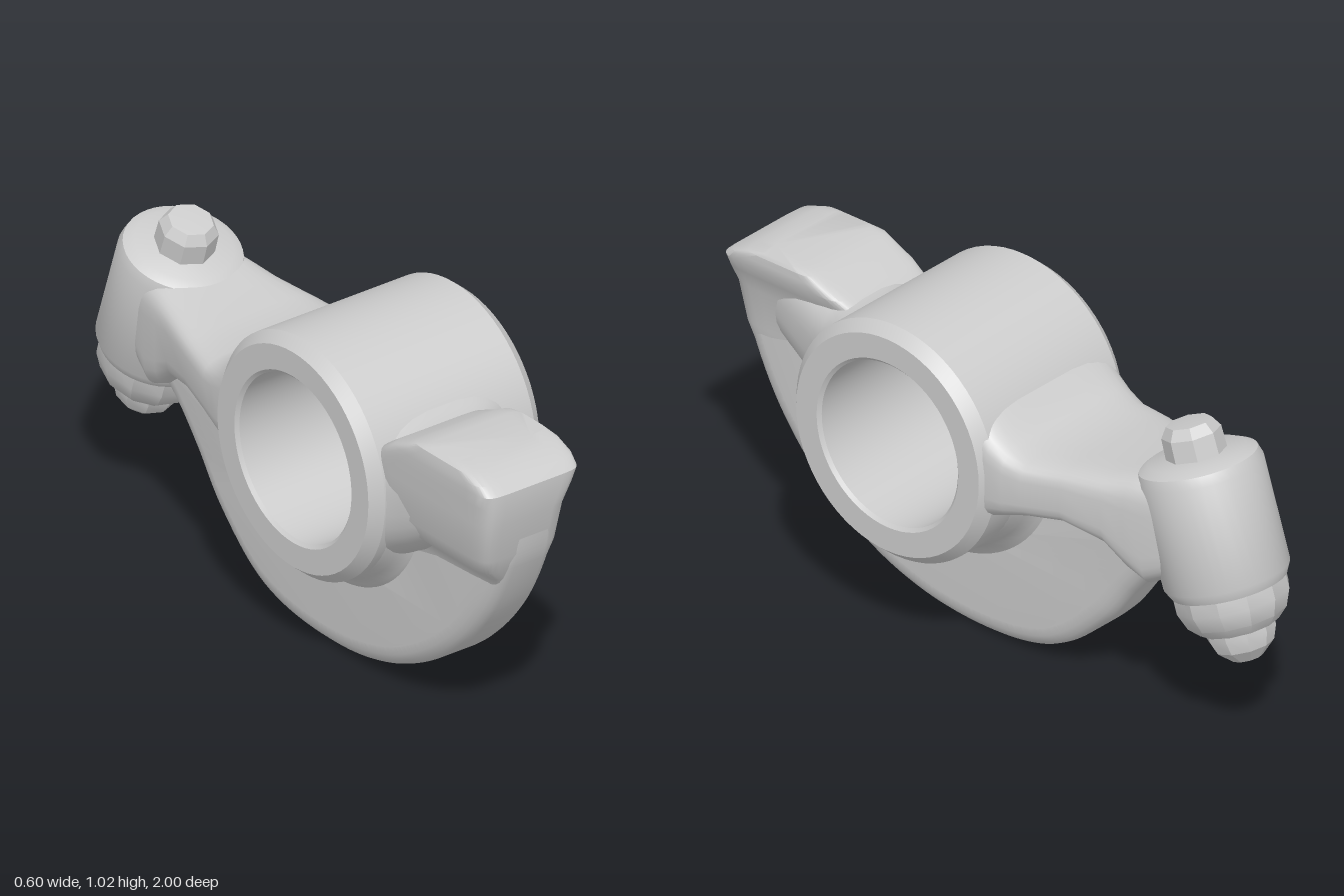
import * as THREE from 'three';
import { toCreasedNormals } from 'three/addons/utils/BufferGeometryUtils.js';

const material = new THREE.MeshStandardMaterial({ color: 0xcccccc });
const HUB_Y = 0.658, HUB_Z = 0.18;

function part(name, geometry, crease = 0.6) {
  const mesh = new THREE.Mesh(toCreasedNormals(geometry, crease), material);
  mesh.name = name;
  return mesh;
}

const profile = (pts) => pts.map(([r, y]) => new THREE.Vector2(r, y));

// Skin over rounded-rectangle sections [t, a0, a1, b0, b1], t increasing.
function loft(sections, place, power = 0.4, n = 32) {
  const pos = [], idx = [];
  const round = (v) => Math.sign(v) * Math.pow(Math.abs(v), power);
  for (const [t, a0, a1, b0, b1] of sections) {
    for (let j = 0; j < n; j++) {
      const w = ((j + 0.5) / n) * Math.PI * 2;
      const a = (a0 + a1) / 2 + ((a1 - a0) / 2) * round(Math.cos(w));
      const b = (b0 + b1) / 2 + ((b1 - b0) / 2) * round(Math.sin(w));
      pos.push(...place(a, b, t));
    }
  }
  for (let i = 0; i < sections.length - 1; i++) {
    for (let j = 0; j < n; j++) {
      const p = i * n + j, q = i * n + ((j + 1) % n);
      idx.push(p, q, q + n, p, q + n, p + n);
    }
  }
  const last = (sections.length - 1) * n;
  for (let j = 1; j < n - 1; j++) {
    idx.push(0, j + 1, j, last, last + j, last + j + 1);
  }
  const g = new THREE.BufferGeometry();
  g.setAttribute('position', new THREE.Float32BufferAttribute(pos, 3));
  g.setIndex(idx);
  g.computeVertexNormals();
  return g;
}

// Lathe around the pivot axis (x) of the hub
function hubLathe(pts, segments, start, sweep) {
  return new THREE.LatheGeometry(profile(pts), segments, start, sweep)
    .rotateZ(Math.PI / 2).translate(0, HUB_Y, HUB_Z);
}

// Crescent web below the hub, drawn in (z, y)
function webGeometry() {
  const shape = new THREE.Shape();
  shape.moveTo(0.98, 0.72);
  shape.splineThru(profile([
    [0.95, 0.59], [0.85, 0.4], [0.7, 0.23], [0.5, 0.095], [0.3, 0.025], [0.1, 0.003],
    [-0.1, 0.02], [-0.25, 0.08], [-0.4, 0.21], [-0.5, 0.34], [-0.6, 0.45], [-0.7, 0.52],
  ]));
  shape.lineTo(-0.7, 0.68);
  shape.lineTo(-0.25, 0.68);
  shape.absarc(HUB_Z, HUB_Y, 0.29, Math.PI, Math.PI * 2, false);
  shape.lineTo(0.6, 0.8);
  shape.lineTo(0.92, 0.8);
  const g = new THREE.ExtrudeGeometry(shape, {
    depth: 0.1, bevelThickness: 0.045, bevelSize: 0.06, bevelOffset: -0.06,
    bevelSegments: 4, curveSegments: 36,
  });
  g.translate(0, 0, -0.05).rotateY(-Math.PI / 2);
  // The web leans slightly sideways from pad to adjuster
  const p = g.attributes.position;
  for (let i = 0; i < p.count; i++) {
    p.setX(i, p.getX(i) - 0.052 - 0.04 * (p.getZ(i) - 0.2));
  }
  return g;
}

export function createModel() {
  const model = new THREE.Group();
  model.name = 'rockerArm';

  // Pivot hub with chamfered rims and open bore
  model.add(part('hub', hubLathe([
    [0.335, -0.3], [0.365, -0.265], [0.365, 0.265], [0.335, 0.3], [0.26, 0.3],
    [0.25, 0.29], [0.25, -0.29], [0.26, -0.3], [0.335, -0.3],
  ], 64)));

  model.add(part('web', webGeometry()));

  // Concave blend between hub and web
  model.add(part('hubFillet', hubLathe([
    [0.35, -0.22], [0.368, -0.15], [0.378, -0.1], [0.4, -0.065], [0.45, -0.03],
    [0.45, 0.12], [0.4, 0.165], [0.378, 0.19], [0.368, 0.225], [0.35, 0.27],
  ], 40, Math.PI, Math.PI), 0.9));

  // Cam pad, flaring out of the web; sections by height: z range, x range
  model.add(part('camPad', loft([
    [0.42, 0.46, 0.82, -0.15, -0.01],
    [0.51, 0.46, 0.9, -0.165, 0.0],
    [0.55, 0.46, 0.925, -0.185, 0.005],
    [0.59, 0.46, 0.945, -0.23, 0.012],
    [0.64, 0.46, 0.965, -0.25, 0.02],
    [0.76, 0.46, 0.99, -0.26, 0.03],
    [0.82, 0.5, 1.0, -0.265, 0.055],
    [0.86, 0.56, 1.0, -0.268, 0.073],
    [0.885, 0.62, 0.97, -0.268, 0.075],
    [0.905, 0.66, 0.91, -0.265, 0.075],
    [0.915, 0.71, 0.85, -0.25, 0.068],
  ], (z, x, y) => [x, y, z], 0.22)));

  // Neck flaring from the pad into the hub; sections by z: x range, y range
  model.add(part('padNeck', loft([
    [0.45, -0.28, 0.27, 0.42, 0.87],
    [0.51, -0.27, 0.22, 0.44, 0.855],
    [0.55, -0.26, 0.155, 0.47, 0.85],
    [0.6, -0.255, 0.115, 0.5, 0.85],
    [0.66, -0.25, 0.085, 0.54, 0.855],
    [0.74, -0.24, 0.06, 0.58, 0.86],
    [0.85, -0.22, 0.02, 0.62, 0.85],
  ], (x, y, z) => [x, y, z], 0.7), 0.9));

  // Tapering arm from the hub to the adjuster boss
  model.add(part('arm', loft([
    [-0.74, -0.14, 0.18, 0.52, 0.8],
    [-0.66, -0.16, 0.2, 0.47, 0.81],
    [-0.6, -0.17, 0.208, 0.5, 0.8],
    [-0.53, -0.185, 0.22, 0.56, 0.782],
    [-0.4, -0.225, 0.245, 0.59, 0.768],
    [-0.28, -0.255, 0.268, 0.57, 0.755],
    [-0.22, -0.27, 0.282, 0.55, 0.775],
    [-0.17, -0.28, 0.288, 0.53, 0.81],
    [-0.11, -0.285, 0.288, 0.5, 0.865],
  ], (x, y, z) => [x, y, z], 0.4), 0.9));

  // Tilted adjuster: boss, lower collar, tip and top stud
  const adjuster = new THREE.Group();
  adjuster.name = 'adjuster';
  adjuster.position.set(0.02, 0.272, -0.895);
  adjuster.rotation.x = 0.315;
  adjuster.add(part('boss', new THREE.LatheGeometry(profile([
    [0, 0.22], [0.165, 0.22], [0.18, 0.25], [0.18, 0.56], [0.17, 0.59], [0.14, 0.605], [0, 0.61],
  ]), 40)));
  adjuster.add(part('collar', new THREE.LatheGeometry(profile([
    [0, 0.1], [0.115, 0.1], [0.145, 0.13], [0.165, 0.18], [0.165, 0.24], [0, 0.24],
  ]), 12), 0.4));
  adjuster.add(part('tip', new THREE.LatheGeometry(profile([
    [0, 0], [0.045, 0.003], [0.085, 0.04], [0.1, 0.08], [0.1, 0.13], [0, 0.13],
  ]), 10), 0.4));
  adjuster.add(part('stud', new THREE.LatheGeometry(profile([
    [0, 0.55], [0.088, 0.55], [0.085, 0.67], [0.065, 0.7], [0, 0.705],
  ]), 8), 0.4));
  model.add(adjuster);

  return model;
}
